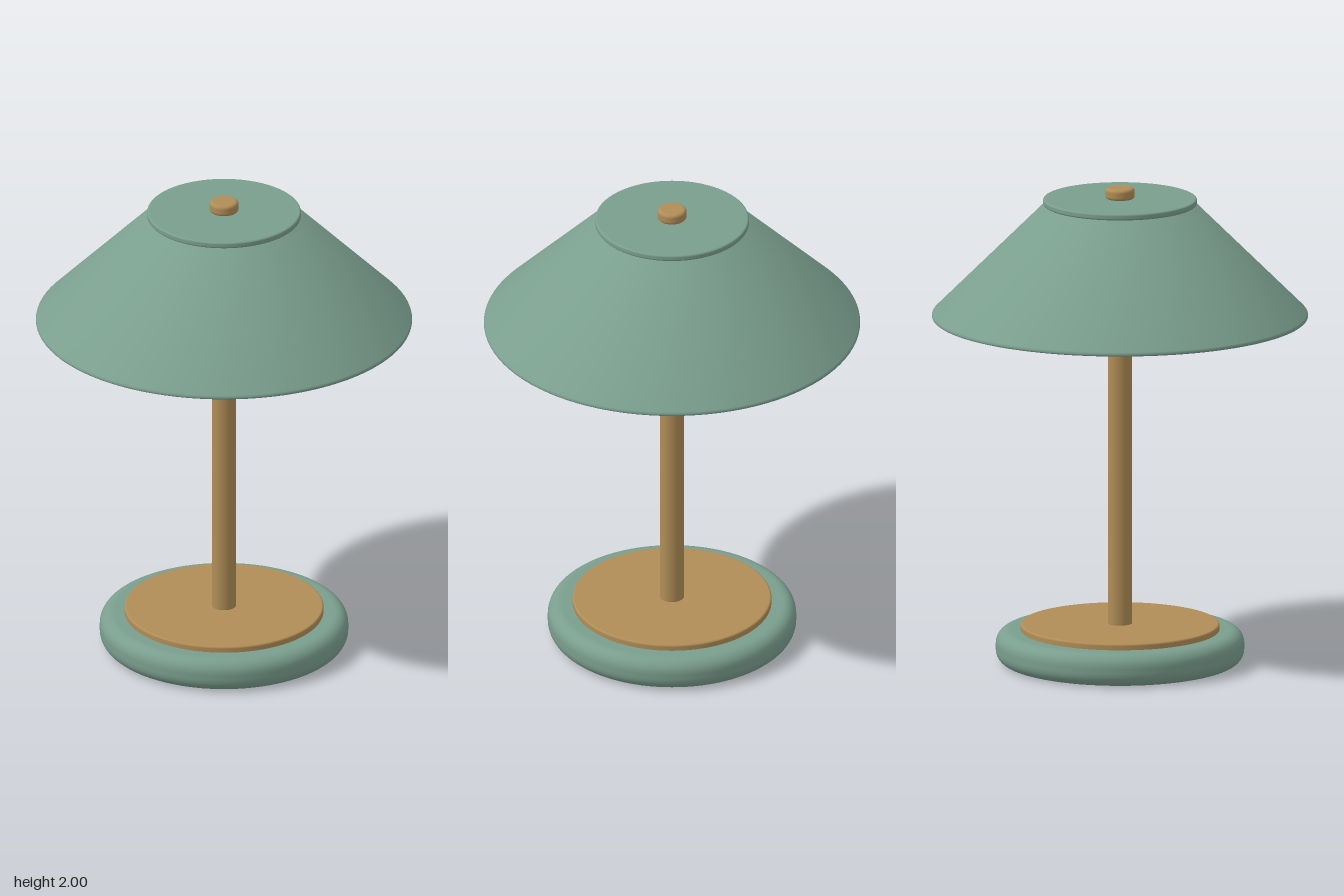
import * as THREE from 'three';

const SEGMENTS = 96;

// Solid of revolution from [radius, height, bevel] corners, listed bottom to top.
// Each bevelled corner becomes a small arc with support points to keep flats flat.
function turned(name, corners, material) {
  const at = corners.map(([r, y]) => new THREE.Vector2(r, y));
  const points = [];
  corners.forEach(([, , bevel], i) => {
    const p = at[i];
    if (!bevel) { points.push(p); return; }
    const toPrev = at[i - 1].clone().sub(p).normalize();
    const toNext = at[i + 1].clone().sub(p).normalize();
    const half = Math.acos(THREE.MathUtils.clamp(toPrev.dot(toNext), -1, 1)) / 2;
    const radius = bevel * Math.tan(half);
    const centre = toPrev.clone().add(toNext).normalize()
      .multiplyScalar(radius / Math.sin(half)).add(p);
    const start = p.clone().addScaledVector(toPrev, bevel).sub(centre);
    const turn = toPrev.cross(toNext) < 0 ? Math.PI - 2 * half : 2 * half - Math.PI;
    points.push(p.clone().addScaledVector(toPrev, bevel * 1.1));
    for (let k = 0; k <= 8; k++) {
      points.push(start.clone().rotateAround(new THREE.Vector2(), turn * k / 8).add(centre));
    }
    points.push(p.clone().addScaledVector(toNext, bevel * 1.1));
  });
  const mesh = new THREE.Mesh(new THREE.LatheGeometry(points, SEGMENTS), material);
  mesh.name = name;
  return mesh;
}

// Rounded disc or rod
function roundedDisc(name, radius, bottom, top, bevel, material) {
  return turned(name, [
    [0, bottom, 0], [radius, bottom, bevel], [radius, top, bevel], [0, top, 0],
  ], material);
}

export function createModel() {
  const green = new THREE.MeshStandardMaterial({ color: 0x7a9e8e });
  green.name = 'sage green';
  const brass = new THREE.MeshStandardMaterial({ color: 0xb08d57 });
  brass.name = 'brass';
  const cream = new THREE.MeshStandardMaterial({ color: 0xf1e3c8 });
  cream.name = 'cream';

  const lamp = new THREE.Group();
  lamp.name = 'tableLamp';

  // Foot and stem
  lamp.add(roundedDisc('base', 0.512, 0, 0.138, 0.055, green));
  lamp.add(roundedDisc('basePlate', 0.41, 0.13, 0.164, 0.008, brass));
  lamp.add(roundedDisc('stem', 0.05, 0.155, 1.94, 0.012, brass));

  // Conical shade with a rounded lip and a short inner wall
  lamp.add(turned('shade', [
    [0.7, 1.488, 0], [0.722, 1.484, 0.003], [0.758, 1.455, 0.006], [0.775, 1.455, 0.006],
    [0.775, 1.468, 0.006], [0.31, 1.932, 0], [0, 1.932, 0],
  ], green));
  lamp.add(roundedDisc('shadeCap', 0.317, 1.928, 1.955, 0.008, green));

  // Light panel closing the underside of the shade
  const diffuser = new THREE.Mesh(new THREE.CylinderGeometry(0.72, 0.72, 0.009, SEGMENTS), cream);
  diffuser.name = 'diffuser';
  diffuser.position.y = 1.48;
  lamp.add(diffuser);

  // Knob on top
  lamp.add(roundedDisc('finial', 0.06, 1.952, 2, 0.014, brass));

  return lamp;
}
